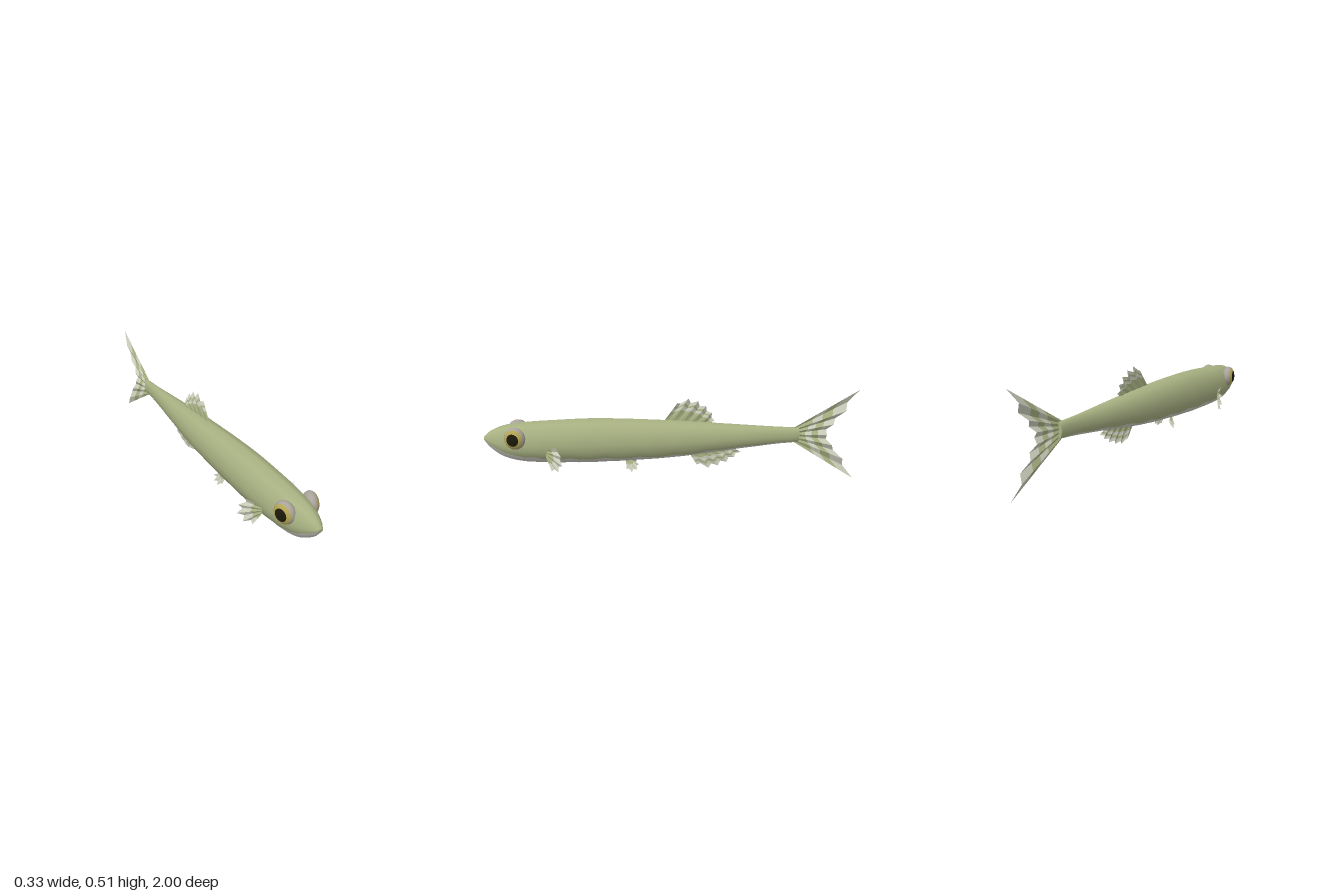
import * as THREE from 'three';

const mat = (name, color, side = THREE.FrontSide) => {
  const m = new THREE.MeshStandardMaterial({ color, side });
  m.name = name;
  return m;
};

// Body stations: z, top y, bottom y, half width, belly line angle (degrees from the top)
const STATIONS = [
  [1.0, 0.298, 0.28, 0.014, 105],
  [0.97, 0.325, 0.238, 0.033, 112],
  [0.9, 0.357, 0.185, 0.061, 120],
  [0.8, 0.372, 0.157, 0.081, 125],
  [0.65, 0.38, 0.146, 0.09, 129],
  [0.4, 0.385, 0.142, 0.091, 132],
  [0.0, 0.363, 0.158, 0.078, 138],
  [-0.3, 0.337, 0.19, 0.054, 136],
  [-0.55, 0.315, 0.215, 0.028, 138],
  [-0.68, 0.306, 0.224, 0.02, 145],
];

// Smooth interpolation of one station column at z
function sample(z, col) {
  const s = STATIONS;
  let i = 0;
  while (i < s.length - 2 && z < s[i + 1][0]) i++;
  const slope = (k) => {
    const a = s[Math.max(k - 1, 0)], b = s[Math.min(k + 1, s.length - 1)];
    return (b[col] - a[col]) / (b[0] - a[0]);
  };
  const d = s[i + 1][0] - s[i][0], t = (z - s[i][0]) / d;
  const t2 = t * t, t3 = t2 * t;
  return (2 * t3 - 3 * t2 + 1) * s[i][col] + (t3 - 2 * t2 + t) * d * slope(i)
    + (3 * t2 - 2 * t3) * s[i + 1][col] + (t3 - t2) * d * slope(i + 1);
}

// Lofted body; the faces below the scalloped belly line form a second group
function bodyGeometry() {
  const ROWS = 84, N = 14, pos = [], back = [], belly = [];
  for (let i = 0; i <= ROWS; i++) {
    const z = 1 - 1.68 * Math.pow(i / ROWS, 1.4);
    const top = sample(z, 1), bottom = sample(z, 2), w = sample(z, 3);
    const wave = z < 0.8 ? 8 * Math.abs(Math.sin(z * 17)) - 4 : 0;
    const b = sample(z, 4) + wave;
    const half = [0, 30, 60, 90, (90 + b) / 2, b, (b + 180) / 2, 180];
    for (let j = 0; j < N; j++) {
      const a = THREE.MathUtils.degToRad(j < 8 ? half[j] : 360 - half[N - j]);
      pos.push(w * Math.sin(a), (top + bottom) / 2 + (top - bottom) / 2 * Math.cos(a), z);
    }
  }
  for (let i = 0; i < ROWS; i++) {
    for (let j = 0; j < N; j++) {
      const k = (j + 1) % N;
      const a = i * N + j, b = i * N + k, c = b + N, d = a + N;
      (j >= 5 && j <= 8 ? belly : back).push(a, b, d, b, c, d);
    }
  }
  // Snout tip
  const tip = pos.length / 3;
  pos.push(0, 0.289, 1.002);
  for (let j = 0; j < N; j++) back.push(tip, (j + 1) % N, j);

  const g = new THREE.BufferGeometry();
  g.setAttribute('position', new THREE.Float32BufferAttribute(pos, 3));
  g.setIndex([...back, ...belly]);
  g.addGroup(0, back.length, 0);
  g.addGroup(back.length, belly.length, 1);
  g.computeVertexNormals();
  return g;
}

// Pleated fin in the z-y plane; each ray is [base z, base y, tip z, tip y].
// Bands along the rays alternate between the two fin colours.
function finGeometry(rays, bands, notch = 0.84, pleat = 0.006) {
  const all = [];
  rays.forEach((r, i) => {
    all.push(r);
    if (i === rays.length - 1) return;
    const m = r.map((v, k) => (v + rays[i + 1][k]) / 2);
    all.push([m[0], m[1], m[0] + (m[2] - m[0]) * notch, m[1] + (m[3] - m[1]) * notch]);
  });
  const point = (i, t) => {
    const [bz, by, tz, ty] = all[i];
    return [(i % 2 ? -1 : 1) * pleat * (0.15 + 0.85 * t), by + (ty - by) * t, bz + (tz - bz) * t];
  };
  const pos = [], g = new THREE.BufferGeometry();
  for (let k = 0; k < bands.length - 1; k++) {
    const start = pos.length / 3;
    for (let i = 0; i < all.length - 1; i++) {
      const a = point(i, bands[k]), b = point(i + 1, bands[k]);
      const c = point(i + 1, bands[k + 1]), d = point(i, bands[k + 1]);
      pos.push(...a, ...b, ...c, ...a, ...c, ...d);
    }
    g.addGroup(start, pos.length / 3 - start, k % 2);
  }
  g.setAttribute('position', new THREE.Float32BufferAttribute(pos, 3));
  g.computeVertexNormals();
  return g;
}

export function createModel() {
  const model = new THREE.Group();
  model.name = 'fish';

  const green = mat('olive green', 0xa8b182);
  const silver = mat('belly silver', 0xd0ccc3);
  const eyeGrey = mat('eye grey', 0xaaa49b);
  const yellow = mat('iris yellow', 0xb5a755);
  const black = mat('pupil black', 0x1c180a);
  const finMats = [
    mat('fin green', 0xa9b384, THREE.DoubleSide),
    mat('fin pale', 0xcfd1be, THREE.DoubleSide),
  ];

  const add = (name, geometry, material, parent = model) => {
    const m = new THREE.Mesh(geometry, material);
    m.name = name;
    parent.add(m);
    return m;
  };

  // Body and its flat rear end
  add('body', bodyGeometry(), [green, silver]);
  const end = add('tailStump', new THREE.CircleGeometry(1, 12), green);
  end.scale.set(0.02, 0.041, 1);
  end.rotation.y = Math.PI;
  end.position.set(0, 0.265, -0.68);

  // Fins on the centre line
  add('dorsalFin', finGeometry([
    [0.055, 0.355, -0.02, 0.46],
    [0.005, 0.352, -0.078, 0.483],
    [-0.05, 0.349, -0.13, 0.468],
    [-0.1, 0.345, -0.172, 0.44],
    [-0.15, 0.34, -0.203, 0.402],
    [-0.195, 0.336, -0.217, 0.36],
  ], [0, 0.55, 0.72, 0.82, 1]), finMats);
  add('analFin', finGeometry([
    [-0.085, 0.175, -0.125, 0.108],
    [-0.13, 0.181, -0.19, 0.087],
    [-0.178, 0.186, -0.242, 0.1],
    [-0.225, 0.191, -0.29, 0.12],
    [-0.272, 0.196, -0.33, 0.146],
    [-0.32, 0.202, -0.365, 0.175],
  ], [0, 0.36, 0.6, 0.76, 1]), finMats);
  add('tailFin', finGeometry([
    [-0.65, 0.304, -0.998, 0.512],
    [-0.65, 0.291, -0.932, 0.395],
    [-0.65, 0.278, -0.868, 0.32],
    [-0.65, 0.265, -0.835, 0.262],
    [-0.65, 0.252, -0.868, 0.2],
    [-0.65, 0.239, -0.932, 0.12],
    [-0.65, 0.226, -0.998, 0.002],
  ], [0, 0.36, 0.55, 0.74, 1], 0.92, 0.008), finMats);

  // Paired fins and eyes
  const pectoral = finGeometry([
    [0, 0.018, -0.08, 0.055],
    [0, 0.01, -0.115, 0.012],
    [0, 0, -0.122, -0.038],
    [0, -0.01, -0.09, -0.08],
    [0, -0.018, -0.042, -0.086],
  ], [0, 0.5, 1], 0.82, 0.005);
  const pelvic = finGeometry([
    [0.005, 0.008, -0.005, -0.052],
    [-0.004, 0.008, -0.036, -0.066],
    [-0.013, 0.008, -0.062, -0.05],
    [-0.022, 0.008, -0.072, -0.02],
  ], [0, 0.5, 1], 0.82, 0.004);

  for (const [side, s] of [['left', 1], ['right', -1]]) {
    const half = new THREE.Group();
    half.name = side + 'Side';
    half.scale.x = s;
    model.add(half);

    const pec = add(side + 'PectoralFin', pectoral, finMats, half);
    pec.position.set(0.082, 0.22, 0.675);
    pec.rotation.y = -0.72;

    const pel = add(side + 'PelvicFin', pelvic, finMats, half);
    pel.position.set(0.022, 0.155, 0.255);
    pel.rotation.set(0, -0.3, 0.36);

    // Eyeball split into pupil, iris and outer ring along its outward axis
    const eye = new THREE.Group();
    eye.name = side + 'Eye';
    eye.position.set(0.071, 0.306, 0.832);
    eye.rotation.y = -0.28;
    half.add(eye);
    const bands = [['Pupil', 0, 0.6, black], ['Iris', 0.6, 1.05, yellow], ['EyeRing', 1.05, Math.PI, eyeGrey]];
    for (const [name, from, to, m] of bands) {
      const g = new THREE.SphereGeometry(1, 20, name === 'EyeRing' ? 10 : 4, 0, Math.PI * 2, from, to - from);
      g.rotateZ(-Math.PI / 2).scale(0.037, 0.059, 0.057);
      add(side + name, g, m, eye);
    }
  }
  return model;
}
